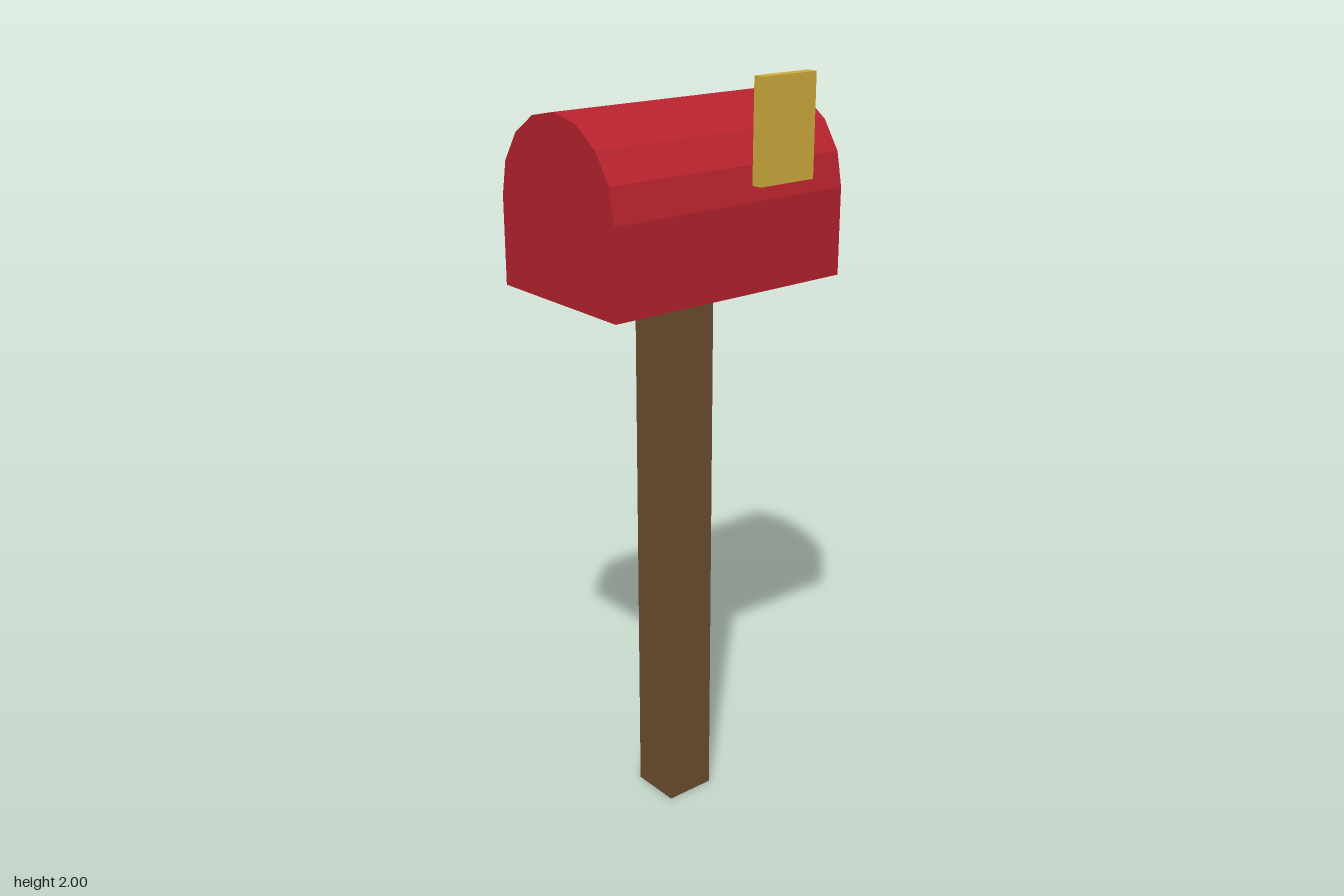
import * as THREE from 'three';

export function createModel() {
  const model = new THREE.Group();
  const paint = (name, color) => {
    const m = new THREE.MeshStandardMaterial({ color, flatShading: true });
    m.name = name;
    return m;
  };
  const red = paint('red', 0xb8232f);
  const wood = paint('wood brown', 0x6c4e30);
  const gold = paint('gold', 0xd2ae3e);

  const add = (name, geometry, material, x, y, z) => {
    const mesh = new THREE.Mesh(geometry, material);
    mesh.name = name;
    mesh.position.set(x, y, z);
    model.add(mesh);
  };

  const centreX = -0.015;
  const postHeight = 1.48;

  // Square post
  add('post', new THREE.BoxGeometry(0.14, postHeight, 0.14), wood, centreX, postHeight / 2, 0);

  // Box with a faceted half-round roof, extruded front to back
  const radius = 0.225;
  const length = 0.707;
  const segments = 8;
  const profile = new THREE.Shape();
  profile.moveTo(-radius, 0);
  profile.lineTo(radius, 0);
  for (let i = 0; i <= segments; i++) {
    const a = (Math.PI * i) / segments;
    profile.lineTo(radius * Math.cos(a), radius + radius * Math.sin(a));
  }
  profile.closePath();
  const body = new THREE.ExtrudeGeometry(profile, { depth: length, bevelEnabled: false });
  add('mailbox', body, red, centreX, postHeight, -length / 2);

  // Raised flag on the left side
  add('flag', new THREE.BoxGeometry(0.03, 0.255, 0.17), gold, 0.225, 1.8725, -0.141);

  return model;
}
